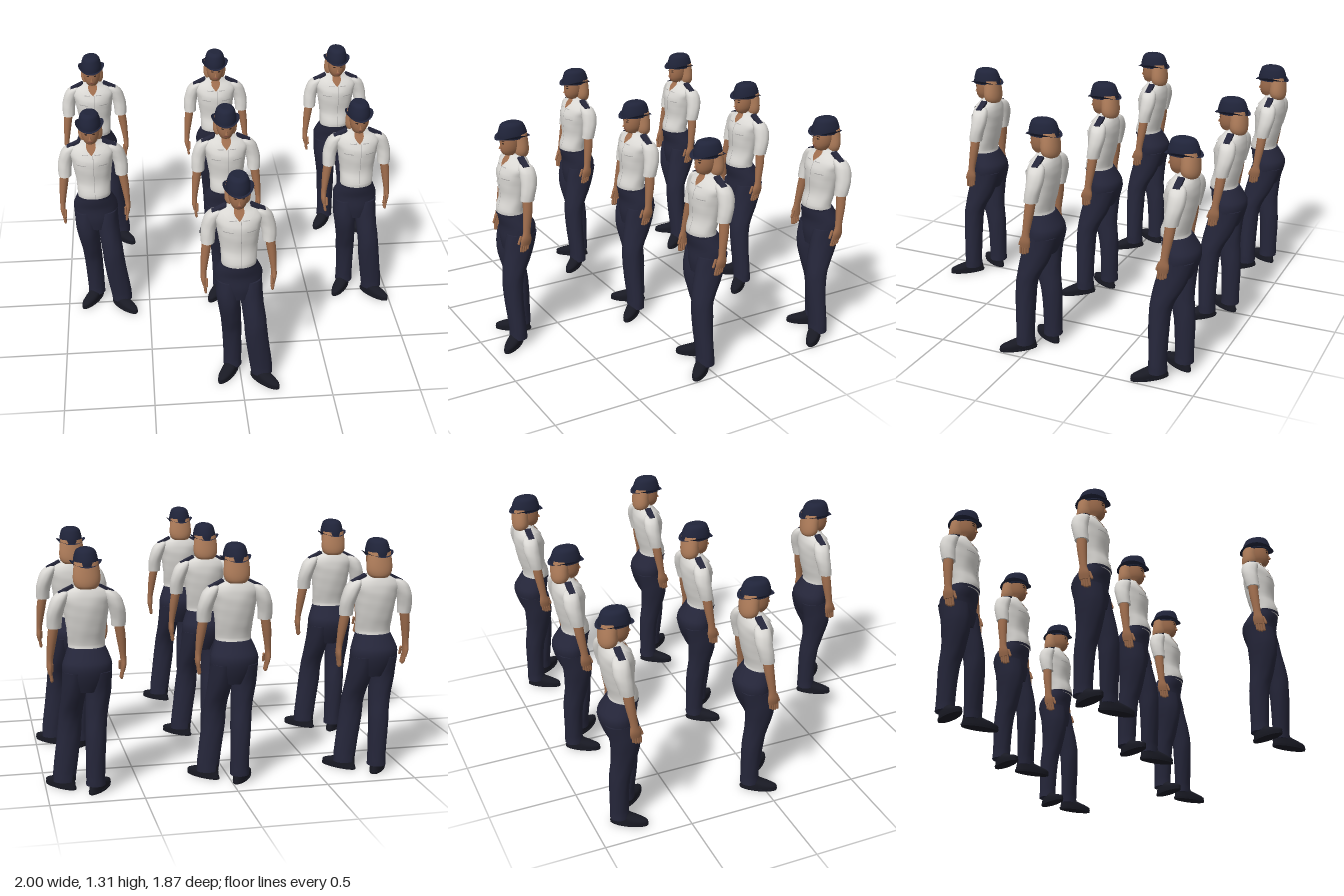
import * as THREE from 'three';

const mat = (name, color, side = THREE.FrontSide) => {
  const m = new THREE.MeshStandardMaterial({ color, side });
  m.name = name;
  return m;
};

// Cross-section rows are [y, centreX, centreZ, radiusX, radiusZ], lowest first.
function sample(rows, y) {
  let i = 0;
  while (i < rows.length - 2 && y > rows[i + 1][0]) i++;
  const a = rows[i], b = rows[i + 1], h = b[0] - a[0], t = (y - a[0]) / h;
  const slope = (k, c) => {
    const p = rows[Math.max(k - 1, 0)], q = rows[Math.min(k + 1, rows.length - 1)];
    return (q[c] - p[c]) / (q[0] - p[0]);
  };
  return a.map((v, c) => {
    if (c === 0) return y;
    const t2 = t * t, t3 = t2 * t;
    return v * (2 * t3 - 3 * t2 + 1) + b[c] * (3 * t2 - 2 * t3)
      + h * (slope(i, c) * (t3 - 2 * t2 + t) + slope(i + 1, c) * (t3 - t2));
  });
}

// Skin over the rows. Angle 0 faces front; range(t) limits it to a patch.
function loft(rows, { sides = 24, steps = 3, y0, y1, range, grow = 0, ripple = 0 } = {}) {
  const ys = [];
  if (y0 !== undefined) for (let i = 0; i <= 8; i++) ys.push(y0 + (y1 - y0) * i / 8);
  else {
    for (let i = 0; i < rows.length - 1; i++)
      for (let k = 0; k < steps; k++) ys.push(rows[i][0] + (rows[i + 1][0] - rows[i][0]) * k / steps);
    ys.push(rows[rows.length - 1][0]);
  }
  const pos = [], idx = [], n = sides + 1;
  ys.forEach((y, i) => {
    const [, cx, cz, rx, rz] = sample(rows, y);
    const [a0, a1] = range ? range(i / (ys.length - 1)) : [-Math.PI, Math.PI];
    for (let j = 0; j < n; j++) {
      const a = a0 + (a1 - a0) * j / sides;
      const k = 1 + ripple * Math.sin(5 * a + 38 * y) * Math.sin(3 * a - 61 * y);
      pos.push(cx + (rx * k + grow) * Math.sin(a), y, cz + (rz * k + grow) * Math.cos(a));
    }
  });
  for (let i = 0; i < ys.length - 1; i++)
    for (let j = 0; j < sides; j++) {
      const a = i * n + j, b = a + 1, c = b + n, d = a + n;
      idx.push(a, b, c, a, c, d);
    }
  // End caps
  if (!range) [0, ys.length - 1].forEach((r) => {
    const base = pos.length / 3, [, cx, cz] = sample(rows, ys[r]);
    pos.push(cx, ys[r], cz);
    for (let j = 0; j < n; j++) pos.push(...pos.slice((r * n + j) * 3, (r * n + j) * 3 + 3));
    for (let j = 1; j <= sides; j++) idx.push(base, base + (r ? j : j + 1), base + (r ? j + 1 : j));
  });
  const g = new THREE.BufferGeometry();
  g.setAttribute('position', new THREE.Float32BufferAttribute(pos, 3));
  g.setIndex(idx);
  g.computeVertexNormals();
  if (!range) { // Close the shading seam at the back
    const nm = g.attributes.normal;
    for (let i = 0; i < ys.length; i++) {
      const v = new THREE.Vector3().fromBufferAttribute(nm, i * n);
      v.add(new THREE.Vector3().fromBufferAttribute(nm, i * n + sides)).normalize();
      nm.setXYZ(i * n, v.x, v.y, v.z);
      nm.setXYZ(i * n + sides, v.x, v.y, v.z);
    }
  }
  return g;
}

function createOfficer() {
  const navy = mat('navy cloth', 0x25263a), hatNavy = mat('hat navy', 0x20243a, THREE.DoubleSide);
  const white = mat('shirt white', 0xd9d7d3, THREE.DoubleSide), seam = mat('shirt seam grey', 0xa9a7a6, THREE.DoubleSide);
  const skin = mat('skin', 0xa06e4e, THREE.DoubleSide), hair = mat('hair', 0xb27f5c);
  const black = mat('shoe black', 0x191a24), dark = mat('eye dark', 0x33231d), lip = mat('lip', 0x8a5044);
  const g = new THREE.Group();
  const add = (name, geo, m, p = [0, 0, 0], r = [0, 0, 0], s = [1, 1, 1]) => {
    const mesh = new THREE.Mesh(geo, m);
    mesh.name = name;
    mesh.position.set(...p); mesh.rotation.set(...r); mesh.scale.set(...s);
    g.add(mesh);
    return mesh;
  };
  const MID = -0.013;
  const mirror = (rows) => rows.map(([y, x, ...rest]) => [y, 2 * MID - x, ...rest]);

  // Trousers
  add('trouserSeat', loft([[0.56, -0.008, -0.035, 0.085, 0.075], [0.63, -0.01, -0.045, 0.122, 0.094],
    [0.7, -0.012, -0.053, 0.131, 0.098], [0.75, -0.014, -0.035, 0.115, 0.09], [0.79, -0.014, -0.02, 0.098, 0.079]]), navy);
  add('leftTrouserLeg', loft([[0.045, 0.116, 0.022, 0.06, 0.05], [0.1, 0.112, 0.023, 0.062, 0.048], [0.3, 0.085, 0.03, 0.064, 0.055],
    [0.42, 0.074, 0.022, 0.062, 0.063], [0.55, 0.058, -0.022, 0.064, 0.084], [0.67, 0.052, -0.05, 0.065, 0.09]], { ripple: 0.02 }), navy);
  add('rightTrouserLeg', loft([[0.045, -0.042, -0.07, 0.052, 0.053], [0.1, -0.042, -0.07, 0.05, 0.052], [0.3, -0.048, -0.063, 0.055, 0.058],
    [0.42, -0.056, -0.04, 0.058, 0.07], [0.55, -0.07, -0.03, 0.066, 0.084], [0.67, -0.074, -0.05, 0.067, 0.09]], { ripple: 0.02 }), navy);

  // Shoes
  const shoe = loft([[0.01, 0, 0, 0.036, 0.104], [0.03, 0, 0.001, 0.037, 0.102], [0.045, 0, -0.016, 0.036, 0.082],
    [0.06, 0, -0.04, 0.034, 0.056], [0.085, 0, -0.052, 0.03, 0.042]]);
  const sole = loft([[0, 0, 0, 0.037, 0.106], [0.012, 0, 0, 0.039, 0.108]], { steps: 1 });
  [['left', [0.132, 0, 0.06], 0.72], ['right', [-0.068, 0, -0.025], -0.58]].forEach(([n, p, yaw]) => {
    add(n + 'Shoe', shoe, black, p, [0, yaw, 0]);
    add(n + 'Sole', sole, black, p, [0, yaw, 0]);
  });

  // Shirt body
  const shirt = [[0.775, -0.014, -0.017, 0.095, 0.079], [0.81, -0.014, -0.014, 0.097, 0.077], [0.88, -0.013, -0.033, 0.101, 0.076],
    [0.96, -0.014, -0.039, 0.112, 0.086], [1.02, -0.014, -0.043, 0.121, 0.088], [1.06, -0.014, -0.05, 0.127, 0.078],
    [1.09, -0.015, -0.056, 0.108, 0.063], [1.11, -0.015, -0.06, 0.072, 0.05], [1.128, -0.016, -0.06, 0.043, 0.042]];
  add('shirtBody', loft(shirt, { sides: 36, steps: 4, ripple: 0.012 }), white);
  add('belt', loft(shirt, { y0: 0.775, y1: 0.79, range: () => [-Math.PI, Math.PI], sides: 32, grow: 0.003 }), navy);
  const patch = (name, y0, y1, range, grow, m) => add(name, loft(shirt, { y0, y1, range, grow, sides: 6 }), m);
  patch('openNeck', 1.062, 1.126, (t) => [-0.5 * t, 0.5 * t], 0.003, skin);
  patch('buttonPlacket', 0.79, 1.064, () => [0.05, 0.075], 0.003, seam);
  for (const s of [-1, 1]) {
    const span = (a, b) => (s > 0 ? [a, b] : [-b, -a]);
    patch('collarFlap', 1.068, 1.128, (t) => span(0.16 + 0.34 * t, 0.4 + 1.0 * t), 0.008, white);
    patch('collarEdge', 1.064, 1.07, () => span(0.14, 0.42), 0.007, seam);
    patch('pocketFlap', 1.005, 1.026, (t) => span(0.3, 0.82), 0.003, white);
    patch('pocketSeam', 1.001, 1.005, () => span(0.3, 0.82), 0.003, seam);
    add('epaulette', new THREE.BoxGeometry(0.085, 0.014, 0.036), navy, [MID + s * 0.103, 1.1, -0.06], [0, 0, -s * 0.46]);
  }
  add('collarBand', loft([[1.1, -0.015, -0.06, 0.058, 0.05], [1.135, -0.016, -0.06, 0.042, 0.044]],
    { y0: 1.1, y1: 1.135, range: () => [0.6, 2 * Math.PI - 0.6] }), white);

  // Sleeves, arms and hands
  const sleeve = [[0.9, 0.153, -0.048, 0.037, 0.039], [0.95, 0.152, -0.057, 0.04, 0.042], [1.0, 0.143, -0.066, 0.042, 0.046],
    [1.05, 0.125, -0.067, 0.043, 0.047], [1.08, 0.108, -0.064, 0.034, 0.04], [1.094, 0.092, -0.062, 0.016, 0.025]];
  const arm = [[0.645, 0.176, -0.018, 0.011, 0.029], [0.68, 0.18, -0.022, 0.015, 0.031], [0.715, 0.179, -0.026, 0.016, 0.022],
    [0.75, 0.176, -0.03, 0.018, 0.022], [0.84, 0.166, -0.042, 0.025, 0.027], [0.92, 0.154, -0.05, 0.027, 0.029]];
  const finger = new THREE.CapsuleGeometry(0.0075, 0.04, 3, 8);
  [['left', (r) => r, 1], ['right', mirror, -1]].forEach(([n, f, s]) => {
    add(n + 'Sleeve', loft(f(sleeve), { ripple: 0.025 }), white);
    add(n + 'Forearm', loft(f(arm), { sides: 16 }), skin);
    for (let i = 0; i < 4; i++)
      add(n + 'Finger', finger, skin, [MID + s * 0.186, 0.628 + 0.003 * i * i - 0.006 * i, 0.007 - i * 0.0135], [-0.12, 0, -s * 0.15]);
    add(n + 'Thumb', finger, skin, [MID + s * 0.178, 0.672, 0.012], [-0.35, 0, 0]);
  });

  // Head and face
  add('head', loft([[1.08, -0.015, -0.062, 0.036, 0.036], [1.118, -0.016, -0.054, 0.036, 0.04], [1.13, -0.016, -0.036, 0.035, 0.05],
    [1.16, -0.016, -0.034, 0.049, 0.06], [1.2, -0.016, -0.036, 0.055, 0.062], [1.245, -0.016, -0.042, 0.055, 0.062]]), skin);
  add('nose', new THREE.ConeGeometry(0.009, 0.034, 8), skin, [-0.016, 1.18, 0.026], [-0.25, 0, 0]);
  const dot = new THREE.SphereGeometry(1, 10, 6);
  for (const s of [-1, 1]) {
    add('eye', dot, dark, [-0.016 + s * 0.022, 1.198, 0.0205], [0, s * 0.4, 0], [0.009, 0.004, 0.003]);
    add('eyebrow', dot, dark, [-0.016 + s * 0.023, 1.211, 0.02], [0, s * 0.4, 0], [0.012, 0.0025, 0.003]);
  }
  add('mouth', dot, lip, [-0.016, 1.152, 0.0225], [0, 0, 0], [0.015, 0.004, 0.004]);
  add('hair', loft([[1.108, -0.016, -0.088, 0.046, 0.036], [1.122, -0.016, -0.086, 0.061, 0.046], [1.15, -0.016, -0.084, 0.07, 0.051],
    [1.19, -0.016, -0.082, 0.069, 0.051], [1.245, -0.016, -0.075, 0.062, 0.053]]), hair);

  // Hat with a brim that curls up at the sides
  add('hatCrown', loft([[1.222, -0.016, -0.046, 0.065, 0.086], [1.25, -0.016, -0.046, 0.064, 0.084], [1.285, -0.016, -0.045, 0.056, 0.073],
    [1.302, -0.016, -0.044, 0.047, 0.062], [1.311, -0.016, -0.044, 0.03, 0.042]]), hatNavy);
  const brim = new THREE.RingGeometry(0.7, 1, 36, 3);
  brim.rotateX(-Math.PI / 2);
  const p = brim.attributes.position;
  for (let i = 0; i < p.count; i++) {
    const x = p.getX(i), z = p.getZ(i), r = Math.hypot(x, z), out = (r - 0.7) / 0.3;
    const side = (x / r) ** 2;
    p.setXYZ(i, x * 0.083, 1.227 + out * out * 0.02 * side - out * 0.007 * (1 - side), z * 0.102);
  }
  brim.computeVertexNormals();
  add('hatBrim', brim, hatNavy, [-0.016, 0, -0.045]);
  return g;
}

export function createModel() {
  const model = new THREE.Group();
  model.name = 'officerFormation';
  const officer = createOfficer(), STEP = 0.785;
  // Two rows of three, with one leader in front
  const places = [[0, 1]];
  for (const row of [-1, 0]) for (const col of [-1, 0, 1]) places.push([col, row]);
  places.forEach(([col, row]) => {
    const o = officer.clone();
    o.name = row === 1 ? 'leadOfficer' : 'officer';
    o.position.set(col * STEP, 0, row * STEP);
    model.add(o);
  });
  return model;
}
